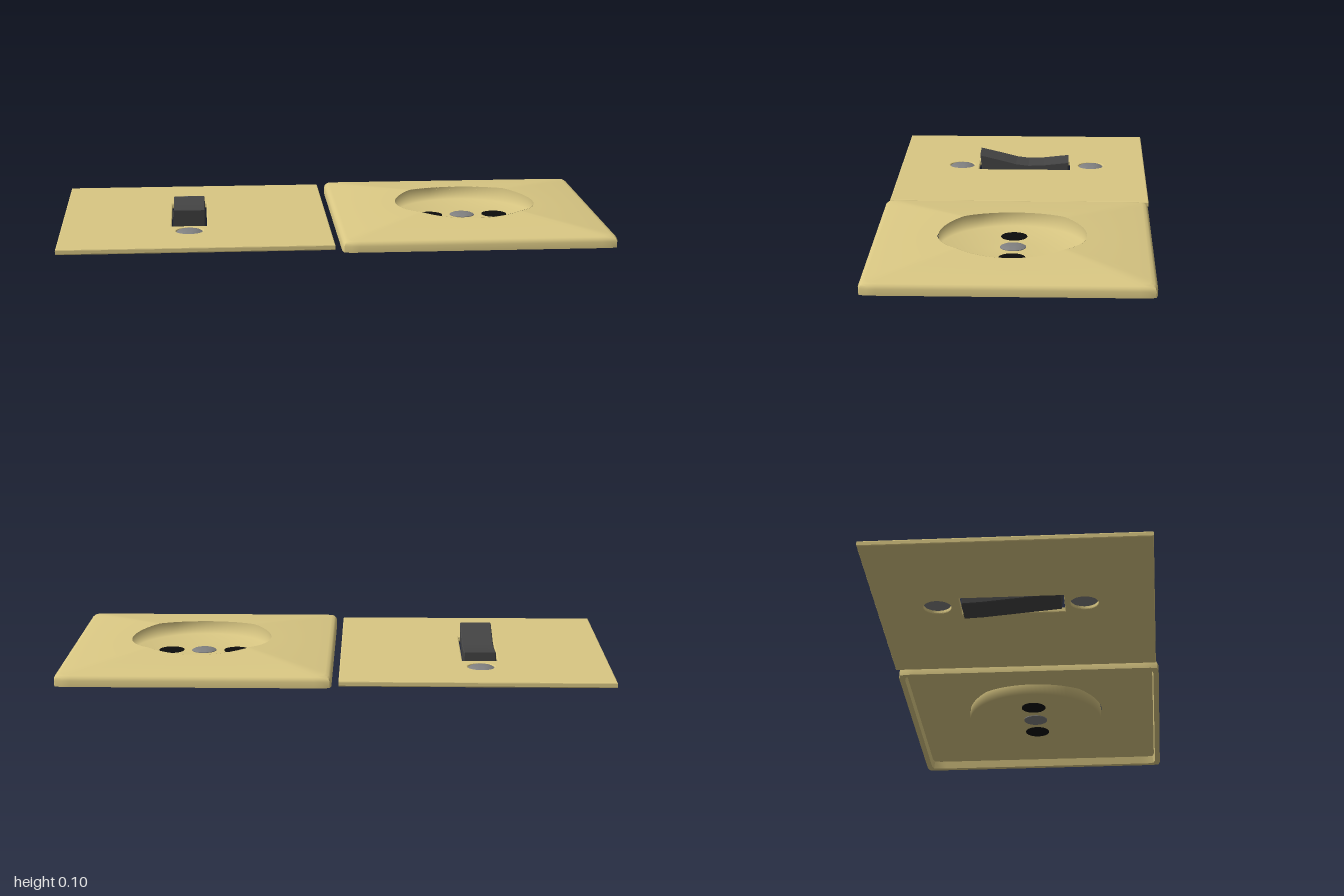
import * as THREE from 'three';
import { toCreasedNormals } from 'three/addons/utils/BufferGeometryUtils.js';

const paint = (color) => new THREE.MeshStandardMaterial({ color, side: THREE.DoubleSide });
const brass = paint(0xd9c783), dark = paint(0x444444), steel = paint(0x808080), black = paint(0x0c0c0c);

function add(parent, name, geometry, material, x = 0, y = 0, z = 0) {
  const mesh = new THREE.Mesh(geometry, material);
  mesh.name = name;
  mesh.position.set(x, y, z);
  parent.add(mesh);
  return mesh;
}

// Polygon from [x, y] pairs
const outline = (points, Type = THREE.Shape) => new Type(points.map(([x, y]) => new THREE.Vector2(x, y)));
const rect = (x0, x1, y0, y1) => [[x0, y0], [x1, y0], [x1, y1], [x0, y1]];

// Slightly domed disc for screws and the socket pin
function button(radius, height, dome) {
  const pts = [[0, 0], [radius, 0], [radius, height - dome], [radius * 0.85, height - dome * 0.5],
    [radius * 0.5, height - dome * 0.12], [0, height]].map(([x, y]) => new THREE.Vector2(x, y));
  return toCreasedNormals(new THREE.LatheGeometry(pts, 32), 0.7);
}

// ---- Switch: flat plate, tilted rocker, two screws ----
function makeSwitch() {
  const group = new THREE.Group();
  group.name = 'switch';
  const cx = -0.53, screws = [-0.28, 0.24];

  // Drawn with y = -z, then laid flat
  const bevel = 0.004;
  const shape = outline(rect(-1 + bevel, -0.015 - bevel, -0.487 + bevel, 0.497 - bevel));
  shape.holes.push(outline(rect(cx - 0.069, cx + 0.069, -0.174, 0.201), THREE.Path));
  for (const z of screws) {
    const hole = new THREE.Path();
    hole.absarc(cx, -z, 0.053, 0, Math.PI * 2, true);
    shape.holes.push(hole);
  }
  const plate = new THREE.ExtrudeGeometry(shape, {
    depth: 0.012, bevelThickness: bevel, bevelSize: bevel, bevelSegments: 2, curveSegments: 24,
  });
  plate.rotateX(-Math.PI / 2);
  add(group, 'switchPlate', plate, brass, 0, 0.022, 0);

  // Side profile in (z, y), swept across x
  const profile = outline([[-0.186, 0.003], [-0.12, 0.006], [0.155, 0.03], [0.162, 0.092], [0.07, 0.07],
    [0.02, 0.057], [-0.03, 0.051], [-0.09, 0.053], [-0.188, 0.064]]);
  const rocker = new THREE.ExtrudeGeometry(profile, {
    depth: 0.112, bevelThickness: 0.003, bevelSize: 0.003, bevelSegments: 1,
  });
  rocker.translate(0, 0, -0.056);
  rocker.rotateY(-Math.PI / 2);
  add(group, 'rocker', rocker, dark, cx, 0, 0);

  for (const z of screws) add(group, 'screw', button(0.048, 0.013, 0.009), steel, cx, 0.03, z);
  return group;
}

// ---- Socket: hollow, gently pyramidal cover with a round well ----
const WELL_X = 0.008, WELL_R = 0.263, SIDES = 192;
const slopeY = (x, z) => 0.05 + 0.1 * (0.48 - Math.max(Math.abs(x), Math.abs(z)));

// Loop around the edge of the well, following the slope
function wellRing(drop, radius) {
  return (a) => {
    const x = WELL_X + radius * Math.cos(a), z = radius * Math.sin(a);
    return [x, slopeY(x, z) - drop, z];
  };
}

// Square loop with rounded corners
function squareRing(half, y, corner = 0.02) {
  return (a) => {
    const k = half / Math.max(Math.abs(Math.cos(a)), Math.abs(Math.sin(a)));
    const q = new THREE.Vector2(Math.cos(a), Math.sin(a)).multiplyScalar(k);
    const core = q.clone().clampScalar(-(half - corner), half - corner);
    const d = q.clone().sub(core);
    if (d.length() > corner) q.copy(core).add(d.setLength(corner));
    return [q.x, y, q.y];
  };
}

function skin(rings) {
  const pos = [], index = [];
  for (const ring of rings)
    for (let j = 0; j < SIDES; j++) pos.push(...ring((j / SIDES) * Math.PI * 2));
  for (let i = 0; i < rings.length - 1; i++)
    for (let j = 0; j < SIDES; j++) {
      const k = (j + 1) % SIDES;
      const a = i * SIDES + j, c = i * SIDES + k, b = a + SIDES, d = c + SIDES;
      index.push(a, c, b, c, d, b);
    }
  const g = new THREE.BufferGeometry();
  g.setAttribute('position', new THREE.Float32BufferAttribute(pos, 3));
  g.setIndex(index);
  return toCreasedNormals(g, 0.9);
}

function makeSocket() {
  const group = new THREE.Group();
  group.name = 'socket';
  group.position.set(0.505, 0, 0.0025);

  // Outside slope, rounded edge, skirt, then the hollow underside
  add(group, 'socketCover', skin([
    wellRing(0, WELL_R),
    squareRing(0.472, 0.0508), squareRing(0.484, 0.048), squareRing(0.491, 0.042),
    squareRing(0.4945, 0.032), squareRing(0.4945, 0.01),
    squareRing(0.474, 0.01), squareRing(0.47, 0.04),
    wellRing(0.01, WELL_R + 0.002),
  ]), brass);

  // Well: flat floor blending into an upright wall whose top meets the slope
  const floor = 0.022;
  const well = new THREE.LatheGeometry([[0, floor], [0.05, floor], [WELL_R, floor], [WELL_R, 0.07]]
    .map(([x, y]) => new THREE.Vector2(x, y)), 96);
  const p = well.attributes.position;
  for (let i = 0; i < p.count; i++)
    if (p.getY(i) > 0.05) p.setY(i, slopeY(p.getX(i) + WELL_X, p.getZ(i)));
  add(group, 'well', well, brass, WELL_X, 0, -0.0025);

  // Contact holes and centre pin, seen from both sides of the floor
  for (const s of [-1, 1])
    add(group, 'contactHole', new THREE.CylinderGeometry(0.047, 0.047, 0.004, 32), black, s * 0.123, floor, -0.0025);
  add(group, 'centrePin', button(0.046, 0.012, 0.007), steel, 0, floor - 0.003, -0.0025);
  return group;
}

export function createModel() {
  const model = new THREE.Group();
  model.name = 'switchAndSocket';
  model.add(makeSwitch(), makeSocket());
  return model;
}
